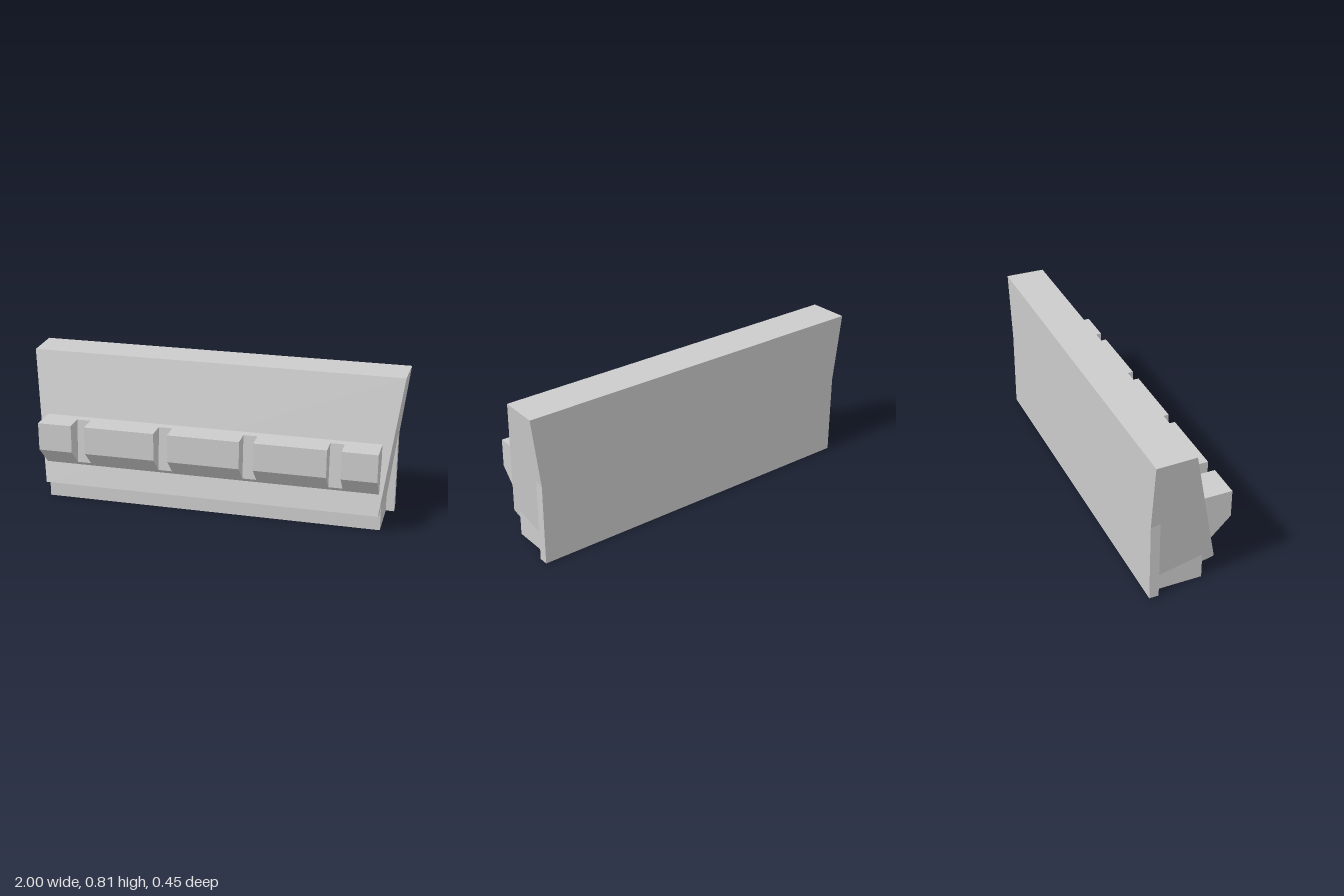
import * as THREE from 'three';

const material = new THREE.MeshStandardMaterial({ color: 0xcccccc, flatShading: true });

// Extrudes a side profile of [z, y] points from x0 to x1.
function extrudeAcross(profile, x0, x1) {
  const shape = new THREE.Shape(profile.map(([z, y]) => new THREE.Vector2(z, y)));
  const geometry = new THREE.ExtrudeGeometry(shape, { depth: x1 - x0, bevelEnabled: false });
  return geometry.rotateY(-Math.PI / 2).translate(x1, 0, 0);
}

function addPart(group, name, geometry) {
  const mesh = new THREE.Mesh(geometry, material);
  mesh.name = name;
  group.add(mesh);
}

function addBox(group, name, halfWidth, height, zBack, zFront) {
  const geometry = new THREE.BoxGeometry(2 * halfWidth, height, zFront - zBack);
  addPart(group, name, geometry.translate(0, height / 2, (zBack + zFront) / 2));
}

export function createModel() {
  const group = new THREE.Group();
  group.name = 'slopedPanel';

  // Leaning panel, widening along the slope of its front face
  const panel = extrudeAcross(
    [[-0.226, 0.023], [0.145, 0.107], [-0.016, 0.81], [-0.226, 0.81]], -1, 1);
  const position = panel.attributes.position;
  for (let i = 0; i < position.count; i++) {
    const alongSlope = (0.145 - position.getZ(i)) * 0.222 + (position.getY(i) - 0.107) * 0.975;
    position.setX(i, Math.sign(position.getX(i)) * (0.905 + 0.124 * alongSlope));
  }
  panel.computeVertexNormals();
  addPart(group, 'panel', panel);

  // Base block and wider back plate, both running up into the panel
  addBox(group, 'base', 0.911, 0.16, -0.18, 0.077);
  addBox(group, 'backPlate', 0.955, 0.45, -0.226, -0.176);

  // Bar along the front: a continuous core with five blocks leaving four notches
  const bar = new THREE.Group();
  bar.name = 'frontBar';
  group.add(bar);
  addPart(bar, 'barCore', extrudeAcross(
    [[0.078, 0.18], [0.142, 0.243], [0.125, 0.48], [0.078, 0.48]], -0.902, 0.902));
  const blockProfile = [[0.142, 0.243], [0.228, 0.33], [0.228, 0.48], [0.125, 0.48]];
  const edges = [-0.902];
  for (const x of [-0.682, -0.229, 0.227, 0.68]) edges.push(x - 0.037, x + 0.037);
  edges.push(0.902);
  for (let i = 0; i < edges.length; i += 2) {
    addPart(bar, 'barBlock', extrudeAcross(blockProfile, edges[i], edges[i + 1]));
  }

  return group;
}
